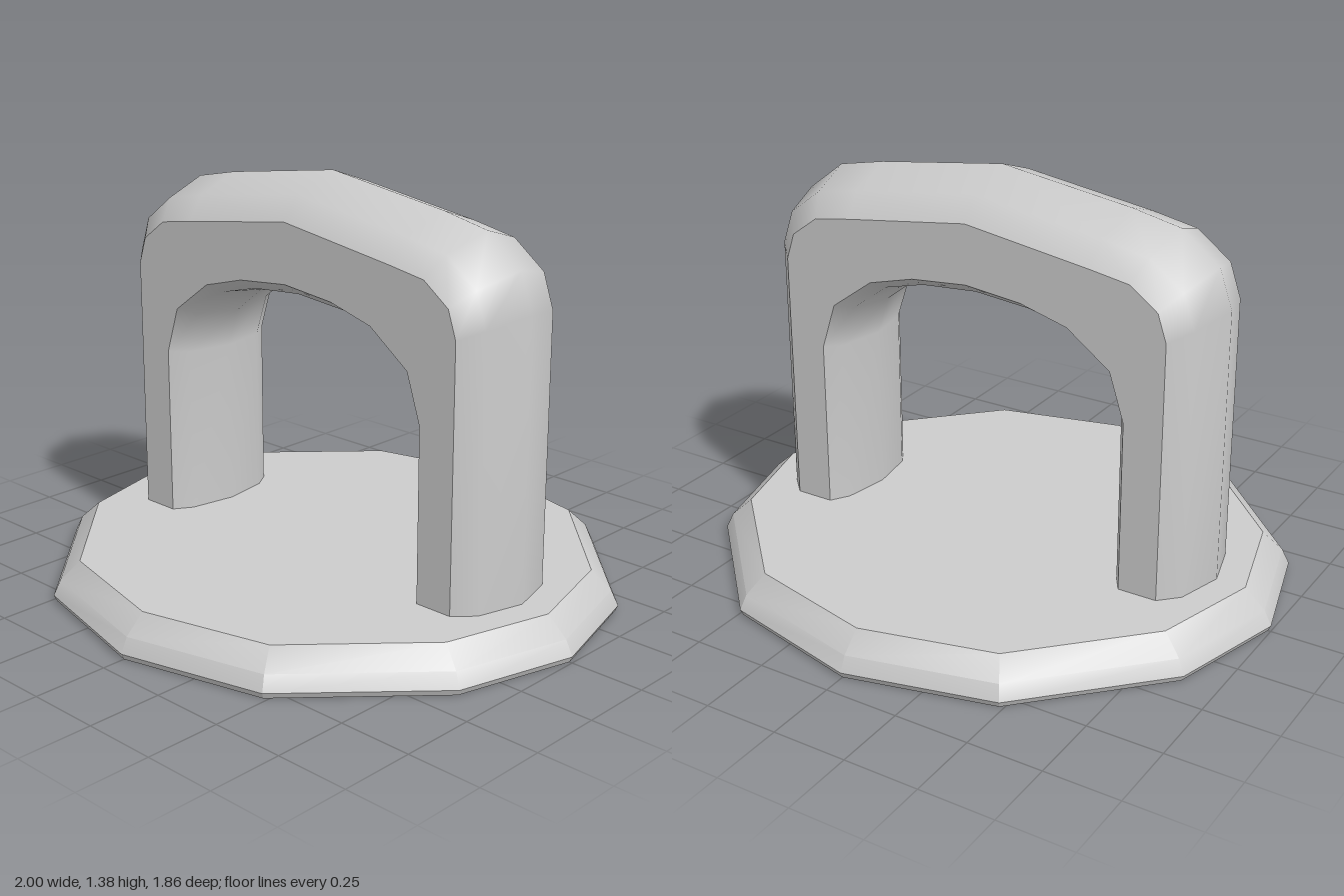
import * as THREE from 'three';
import { toCreasedNormals } from 'three/addons/utils/BufferGeometryUtils.js';

// Skin a grid of points (rows of equal length) with quads
function skin(rows) {
  const n = rows[0].length;
  const index = [];
  for (let i = 0; i < rows.length - 1; i++) {
    for (let j = 0; j < n - 1; j++) {
      const a = i * n + j, b = a + 1, c = b + n, d = a + n;
      if (!rows[i][j].equals(rows[i][j + 1])) index.push(a, b, c);
      if (!rows[i + 1][j].equals(rows[i + 1][j + 1])) index.push(a, c, d);
    }
  }
  const geo = new THREE.BufferGeometry().setFromPoints(rows.flat());
  geo.setIndex(index);
  geo.computeVertexNormals();
  return geo;
}

const V = (x, y, z) => new THREE.Vector3(x, y, z);

export function createModel() {
  const model = new THREE.Group();
  model.name = 'basePlateWithHandle';
  const material = new THREE.MeshStandardMaterial({ color: 0xcccccc });
  const add = (parent, name, geo) => {
    const mesh = new THREE.Mesh(geo, material);
    mesh.name = name;
    parent.add(mesh);
  };

  // Base: twelve-sided, slightly oval disc with a bevelled rim
  const quarter = [[1, 0], [0.89, 0.4], [0.49, 0.81]];
  const back = [[0, 0.93], [-0.49, 0.81], [-0.89, 0.4]];
  const half = [...quarter, ...back];
  const outline = [...half, ...half.map(([x, z]) => [-x, -z]), half[0]];
  const profile = [[0, 0], [0.99, 0], [1, 0.02], [0.975, 0.07], [0.905, 0.132], [0, 0.132]];
  const baseRows = profile.map(([s, y]) => outline.map(([x, z]) => V(x * s, y, -z * s)));
  add(model, 'base', toCreasedNormals(skin(baseRows), 0.46));

  // Handle: stations from the left foot to the crown, mirrored to the right foot
  // each curve: ridge on the centre plane, edge on the flat side faces
  const outerRidge = [[0.805, 0.1], [0.805, 1.05], [0.76, 1.18], [0.63, 1.28], [0.46, 1.315], [0, 1.38]];
  const outerEdge = [[0.7, 0.1], [0.7, 1.0], [0.67, 1.09], [0.575, 1.16], [0.44, 1.182], [0, 1.245]];
  const innerEdge = [[0.567, 0.1], [0.567, 0.71], [0.515, 0.87], [0.365, 0.98], [0.2, 1.025], [0, 1.045]];
  const innerRidge = [[0.502, 0.1], [0.502, 0.7], [0.455, 0.835], [0.34, 0.925], [0.2, 0.96], [0, 0.975]];
  const mirror = (pts) => [...pts, ...pts.slice(0, -1).reverse().map(([x, y]) => [-x, y])];
  const [oR, oE, iE, iR] = [outerRidge, outerEdge, innerEdge, innerRidge].map(mirror);

  const handle = new THREE.Group();
  handle.name = 'handle';
  model.add(handle);
  const W = 0.222, M = 0.16;

  // Rounded strip across the width; dir sets which way the strip faces
  const strip = (ridge, edge, mid, dir) => skin(ridge.map(([rx, ry], i) => {
    const [ex, ey] = edge[i];
    const mx = rx + (ex - rx) * mid, my = ry + (ey - ry) * mid;
    return [V(ex, ey, W * dir), V(mx, my, M * dir), V(rx, ry, 0), V(mx, my, -M * dir), V(ex, ey, -W * dir)];
  }));
  add(handle, 'handleOuter', strip(oR, oE, 0.42, 1));
  add(handle, 'handleInner', strip(iR, iE, 0.4, -1));

  // Flat front and back faces
  const face = (from, to, z) => skin(from.map(([x, y], i) => [V(x, y, z), V(to[i][0], to[i][1], z)]));
  add(handle, 'handleFront', face(iE, oE, W));
  add(handle, 'handleBack', face(oE, iE, -W));

  return model;
}
